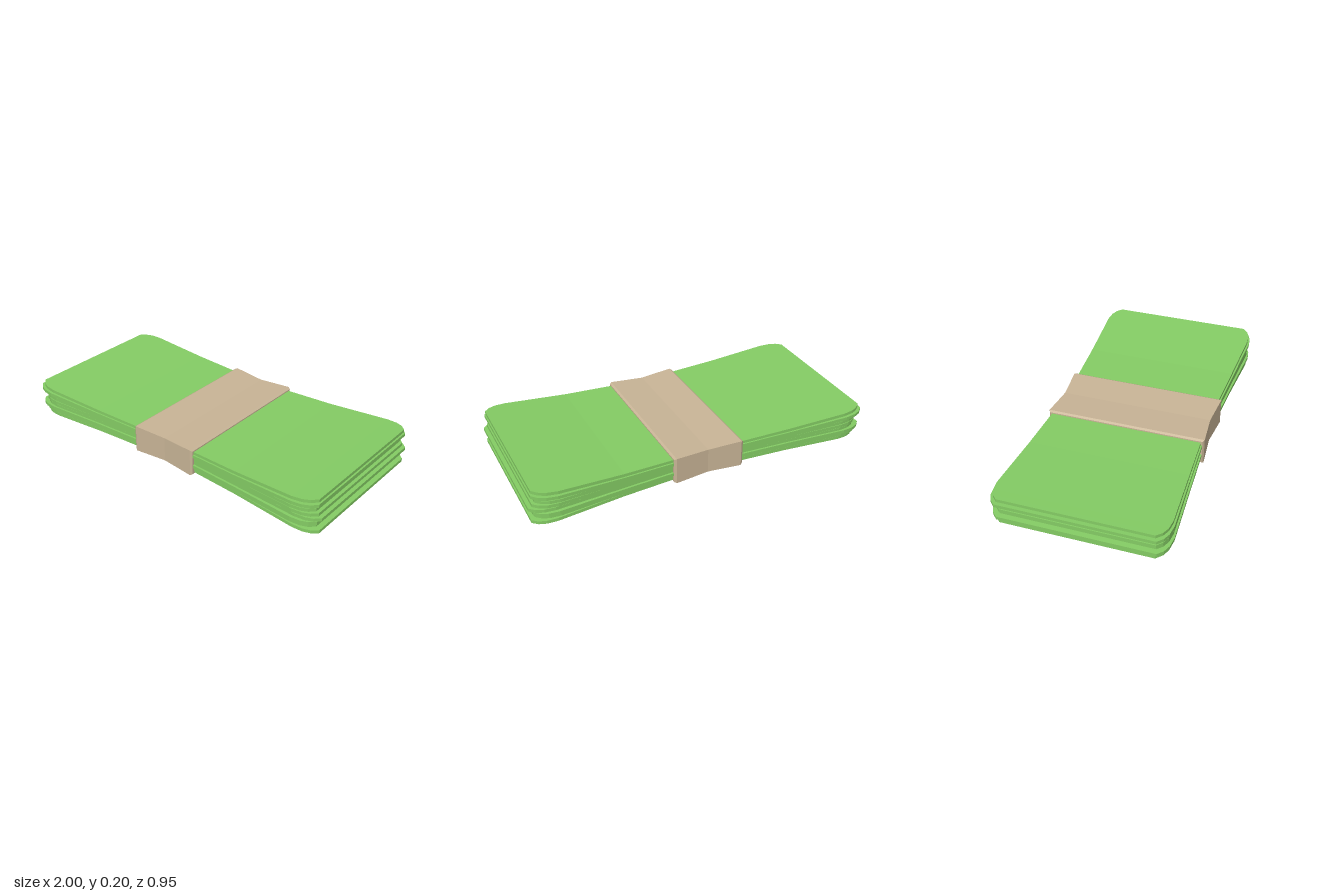
import * as THREE from 'three';

// Solid of rectangular cross-sections along x; each station is [x, bottom, top, halfDepth]
function loft(stations) {
  const pos = [], index = [];
  for (const [x, y0, y1, d] of stations) {
    pos.push(x, y0, d, x, y1, d, x, y1, -d, x, y0, -d);
  }
  const last = (stations.length - 1) * 4;
  for (let i = 0; i < last; i += 4) {
    for (let j = 0; j < 4; j++) {
      const k = (j + 1) % 4;
      index.push(i + j, i + 4 + j, i + 4 + k, i + j, i + 4 + k, i + k);
    }
  }
  index.push(0, 1, 2, 0, 2, 3);
  index.push(last, last + 2, last + 1, last, last + 3, last + 2);
  const geometry = new THREE.BufferGeometry();
  geometry.setAttribute('position', new THREE.Float32BufferAttribute(pos, 3));
  geometry.setIndex(index);
  const flat = geometry.toNonIndexed();
  flat.computeVertexNormals();
  return flat;
}

// Half outline of a sheet: [fraction of half length, half depth, share of end bend]
const outline = [
  [0.2, 0.438, 0], [0.5, 0.452, 0.2], [0.87, 0.471, 0.78],
  [0.93, 0.464, 0.88], [0.97, 0.447, 0.95], [1, 0.418, 1],
];

// Underside heights at the two ends, the reach of each end, and a depth factor
const sheets = [
  { left: 0.010, right: 0.000, xl: 0.96, xr: 0.99, wide: 0.985 },
  { left: 0.027, right: 0.031, xl: 0.98, xr: 0.97, wide: 0.985 },
  { left: 0.052, right: 0.053, xl: 0.99, xr: 0.98, wide: 1.01 },
  { left: 0.068, right: 0.077, xl: 0.96, xr: 1.00, wide: 0.985 },
  { left: 0.088, right: 0.098, xl: 0.97, xr: 0.98, wide: 0.985 },
  { left: 0.112, right: 0.121, xl: 0.97, xr: 0.965, wide: 0.985 },
  { left: 0.144, right: 0.157, xl: 1.00, xr: 0.985, wide: 1.01 },
  { left: 0.168, right: 0.182, xl: 0.985, xr: 0.98, wide: 0.99 },
];

export function createModel() {
  const group = new THREE.Group();
  const green = new THREE.MeshStandardMaterial({ color: 0x84cc64, flatShading: true });
  const tan = new THREE.MeshStandardMaterial({ color: 0xc8b496, flatShading: true });

  // Stack of sheets, pinched in the middle and fanned at the ends
  const stack = new THREE.Group();
  stack.name = 'sheetStack';
  sheets.forEach((s, i) => {
    const base = 0.034 + i * 0.0157;
    const station = (side) => ([f, d, bend]) => {
      const end = side < 0 ? s.left : s.right;
      const x = side * f * (side < 0 ? s.xl : s.xr);
      const y = base + (end - base) * bend;
      return [x, y, y + 0.018, d * s.wide];
    };
    const mesh = new THREE.Mesh(loft([
      ...outline.map(station(-1)).reverse(),
      [0, base, base + 0.018, 0.422],
      ...outline.map(station(1)),
    ]), green);
    mesh.name = 'sheet' + (i + 1);
    stack.add(mesh);
  });
  group.add(stack);

  // Paper band around the middle, with bevelled rims and a slight waist
  const band = new THREE.Mesh(loft([
    [-0.207, 0.027, 0.169, 0.445],
    [-0.195, 0.020, 0.176, 0.453],
    [0, 0.025, 0.168, 0.436],
    [0.195, 0.020, 0.176, 0.453],
    [0.207, 0.027, 0.169, 0.445],
  ]), tan);
  band.name = 'paperBand';
  group.add(band);

  return group;
}
